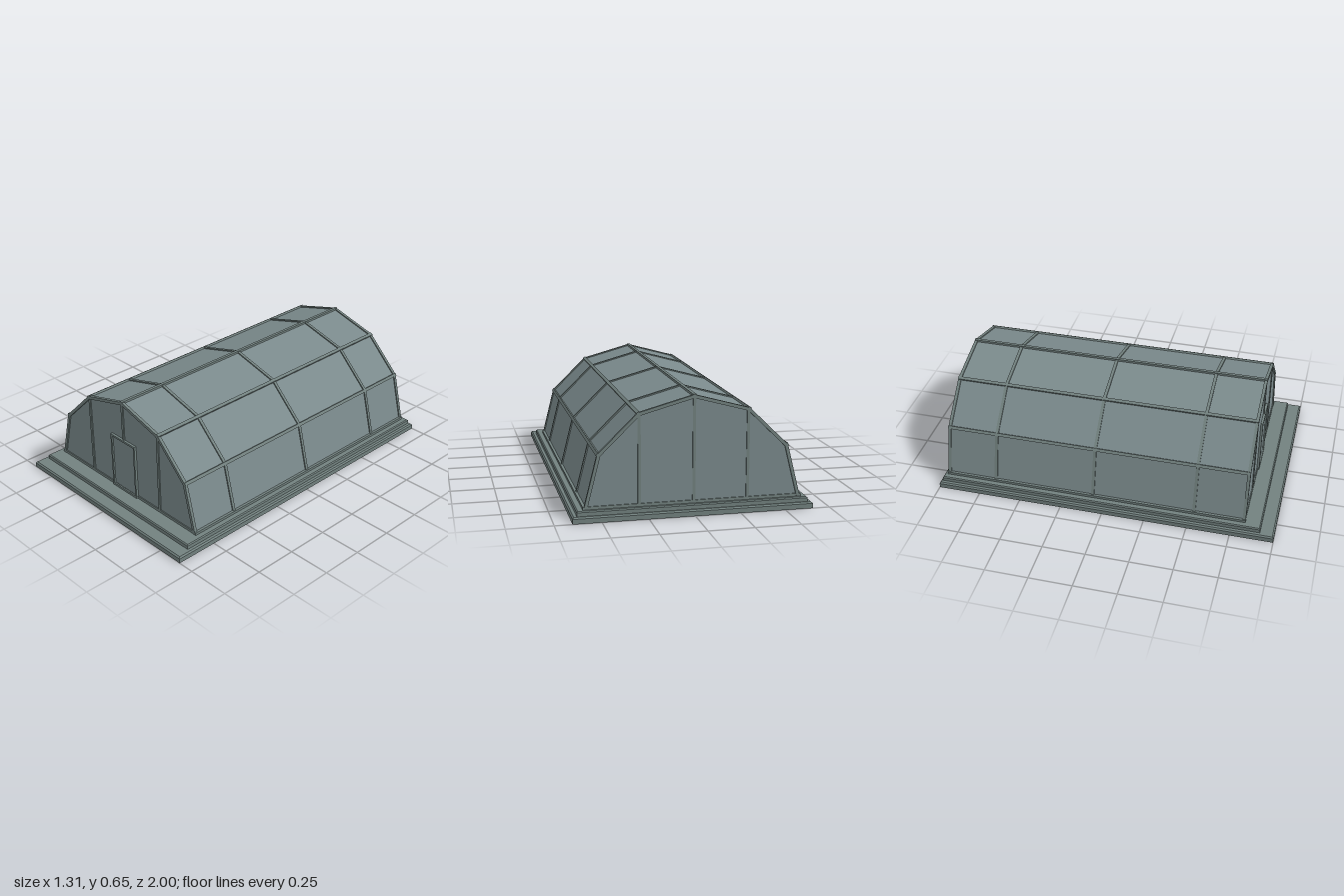
import * as THREE from 'three';

const glazing = new THREE.MeshStandardMaterial({ color: 0x7b8a8c });
glazing.name = 'grey glazing';
const metal = new THREE.MeshStandardMaterial({ color: 0x72817f });
metal.name = 'grey-green frame';

const FRONT = 0.83, BACK = -0.965, FLOOR = 0.06, BAR = 0.018;

// Half of the arch: x, y and the inward mitre direction
const HALF = [
  [-0.592, FLOOR, 1.03, 0],
  [-0.517, 0.355, 0.9, -0.52],
  [-0.302, 0.565, 0.515, -0.89],
  [0, 0.648, 0, -1.04],
];

// Whole arch outline, moved inward by d
function arch(d) {
  const left = HALF.map(([x, y, dx, dy]) => new THREE.Vector2(x + dx * d, y + dy * d));
  const right = left.slice(0, 3).reverse().map((p) => new THREE.Vector2(-p.x, p.y));
  return [...left, ...right];
}

function add(group, name, geometry, material) {
  const mesh = new THREE.Mesh(geometry, material);
  mesh.name = name;
  group.add(mesh);
  return mesh;
}

function box(group, name, x0, x1, y0, y1, z0, z1, material = metal) {
  const mesh = add(group, name, new THREE.BoxGeometry(x1 - x0, y1 - y0, z1 - z0), material);
  mesh.position.set((x0 + x1) / 2, (y0 + y1) / 2, (z0 + z1) / 2);
  return mesh;
}

function extrude(group, name, points, z0, z1, material) {
  const geometry = new THREE.ExtrudeGeometry(new THREE.Shape(points), { depth: z1 - z0, bevelEnabled: false });
  geometry.translate(0, 0, z0);
  return add(group, name, geometry, material);
}

// Slab whose top edges are chamfered by c
function slab(group, name, halfW, y0, y1, z0, z1, c) {
  const h = y1 - y0, d = z1 - z0;
  const geometry = new THREE.BoxGeometry(halfW * 2, h, d, 1, 2, 1).toNonIndexed();
  const p = geometry.attributes.position;
  for (let i = 0; i < p.count; i++) {
    if (Math.abs(p.getY(i)) < 1e-6) p.setY(i, h / 2 - c);
    else if (p.getY(i) > 0) {
      p.setX(i, p.getX(i) - Math.sign(p.getX(i)) * c);
      p.setZ(i, p.getZ(i) - Math.sign(p.getZ(i)) * c);
    }
  }
  geometry.computeVertexNormals();
  add(group, name, geometry, metal).position.set(0, (y0 + y1) / 2, (z0 + z1) / 2);
}

export function createModel() {
  const model = new THREE.Group();
  model.name = 'greenhouse';

  // Stepped base
  slab(model, 'lowerStep', 0.655, 0, 0.035, -1, 1, 0.008);
  slab(model, 'upperStep', 0.63, 0.035, 0.062, -0.985, 0.92, 0.006);

  // Glazed body, slightly inside the frame
  extrude(model, 'glazedBody', arch(0.007), BACK + 0.008, FRONT - 0.008, glazing);

  // Arched ribs
  const ribs = [FRONT - BAR / 2, 0.53, -0.07, -0.665, BACK + BAR / 2];
  for (const z of ribs) {
    const band = [...arch(0), ...arch(0.018).reverse()];
    extrude(model, 'rib', band, z - BAR / 2, z + BAR / 2, metal);
  }

  // Long bars along the ridge, folds and foot
  const tilts = [0, Math.PI / 6, Math.PI / 3, 0];
  HALF.forEach(([x, y, dx, dy], i) => {
    for (const side of x === 0 ? [1] : [-1, 1]) {
      const lift = i === 0 ? 0.009 : 0;
      const bar = box(model, 'purlin', -BAR / 2, BAR / 2, -0.008, 0.008, BACK, FRONT);
      bar.position.x = -side * (x + dx * 0.005);
      bar.position.y = y + dy * 0.005 + lift;
      bar.rotation.z = i === 1 || i === 2 ? side * (tilts[i] - Math.PI / 2) : 0;
    }
  });

  // End wall bars
  for (const [name, z0, z1] of [['front', FRONT - 0.015, FRONT - 0.002], ['back', BACK + 0.002, BACK + 0.015]]) {
    for (const x of [-0.295, 0.295]) {
      box(model, name + 'Mullion', x - 0.008, x + 0.008, FLOOR, 0.557, z0, z1);
    }
    const bottom = name === 'front' ? 0.4 : FLOOR;
    box(model, name + 'CentreMullion', -0.008, 0.008, bottom, 0.638, z0, z1);
    box(model, name + 'Sill', -0.585, 0.585, FLOOR, 0.078, z0, z1);
  }

  // Door and its frame
  for (const s of [-1, 1]) {
    box(model, 'doorJamb', s * 0.099 - 0.006, s * 0.099 + 0.006, FLOOR, 0.405, FRONT - 0.015, FRONT + 0.006);
  }
  box(model, 'doorHead', -0.093, 0.093, 0.393, 0.405, FRONT - 0.015, FRONT + 0.006);
  box(model, 'doorSill', -0.093, 0.093, FLOOR, 0.075, FRONT - 0.015, FRONT + 0.006);
  box(model, 'doorPanel', -0.093, 0.093, 0.075, 0.393, FRONT - 0.01, FRONT - 0.003, glazing);

  return model;
}
